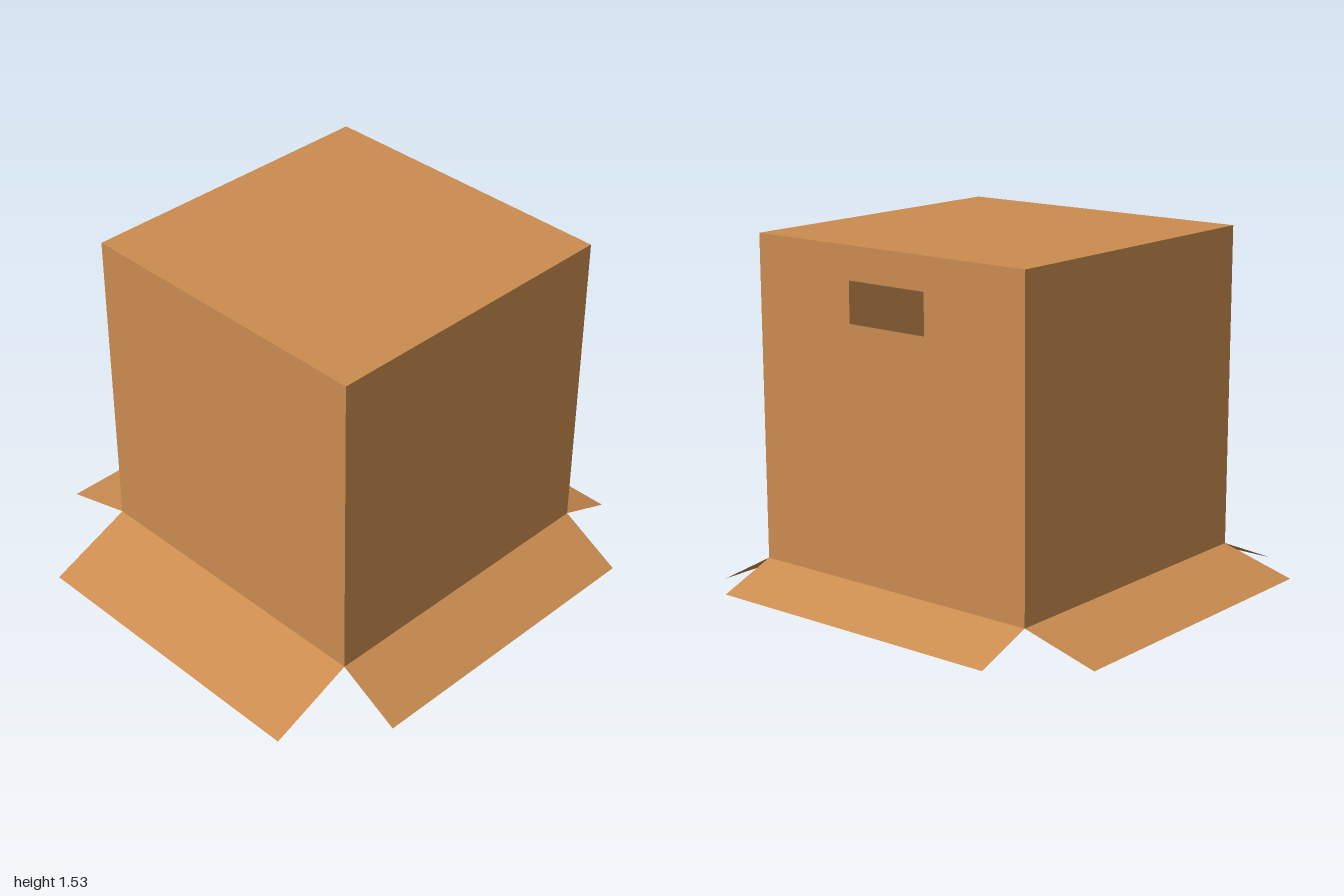
import * as THREE from 'three';

const SIZE = 1.378;          // edge of the cubic carton
const HALF = SIZE / 2;
const BASE = 0.157;          // height of the open rim

// Upright panel in the z = 0 plane, optionally with a rectangular grip hole
function wallGeometry(hole) {
  const shape = new THREE.Shape();
  shape.moveTo(-HALF, 0).lineTo(HALF, 0).lineTo(HALF, SIZE).lineTo(-HALF, SIZE).closePath();
  if (hole) {
    const { halfWidth: w, bottom, top } = hole;
    const path = new THREE.Path();
    path.moveTo(-w, bottom).lineTo(-w, top).lineTo(w, top).lineTo(w, bottom).closePath();
    shape.holes.push(path);
  }
  return new THREE.ShapeGeometry(shape);
}

// Flap hinged on the rim, reaching outward (+z) and dropping down
function flapGeometry(reach, drop) {
  const length = Math.hypot(reach, drop);
  return new THREE.PlaneGeometry(SIZE, length)
    .rotateX(-Math.PI / 2)
    .translate(0, 0, length / 2)
    .rotateX(Math.atan2(drop, reach));
}

export function createModel() {
  const model = new THREE.Group();
  model.name = 'cardboardBox';

  const cardboard = new THREE.MeshStandardMaterial({ color: 0xcb8c50, side: THREE.DoubleSide });
  cardboard.name = 'cardboard';

  const box = new THREE.Group();
  box.name = 'upturnedBox';
  box.position.set(0.028, BASE, -0.059);
  model.add(box);

  const add = (parent, name, geometry) => {
    const mesh = new THREE.Mesh(geometry, cardboard);
    mesh.name = name;
    parent.add(mesh);
    return mesh;
  };

  // Four walls, each with its own folded-out flap
  const gripHole = { halfWidth: 0.195, bottom: 1.065, top: 1.238 };
  const sides = [
    { name: 'front', yaw: 0, reach: 0.368, drop: 0.157 },
    { name: 'positiveX', yaw: Math.PI / 2, reach: 0.272, drop: 0.15 },
    { name: 'back', yaw: Math.PI, reach: 0.252, drop: 0.096, hole: gripHole },
    { name: 'negativeX', yaw: -Math.PI / 2, reach: 0.33, drop: 0.092 },
  ];
  for (const { name, yaw, reach, drop, hole } of sides) {
    const side = new THREE.Group();
    side.name = `${name}Side`;
    side.rotation.y = yaw;
    box.add(side);
    add(side, `${name}Wall`, wallGeometry(hole)).position.z = HALF;
    add(side, `${name}Flap`, flapGeometry(reach, drop)).position.z = HALF;
  }

  // Closed panel on top; the underside stays open
  add(box, 'topPanel', new THREE.PlaneGeometry(SIZE, SIZE).rotateX(-Math.PI / 2)).position.y = SIZE;

  return model;
}
